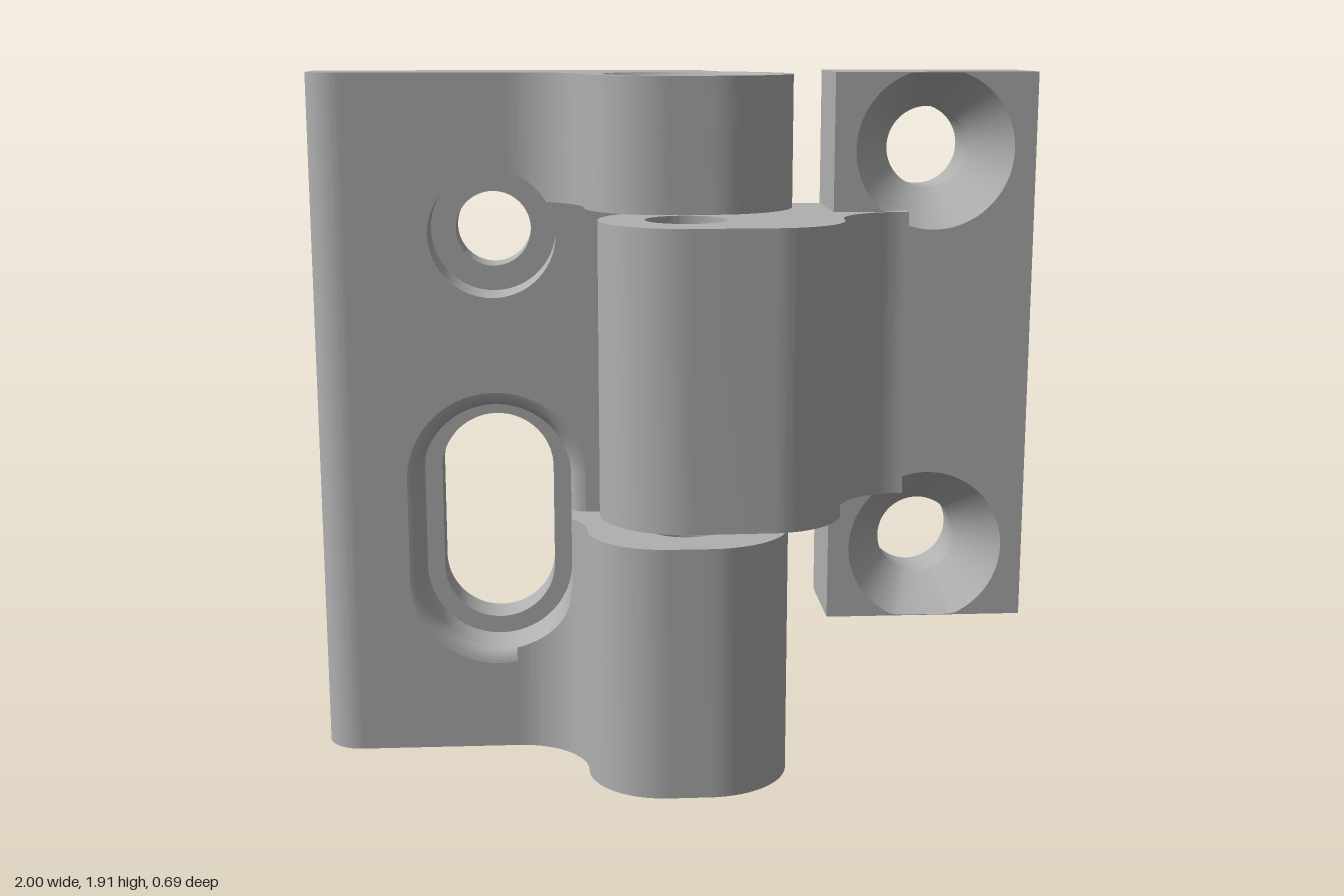
import * as THREE from 'three';
import { toCreasedNormals } from 'three/addons/utils/BufferGeometryUtils.js';

const PI = Math.PI, BACK = -0.35, FACE = -0.07, TOP = 1.915;
const BORE = [0.02, -0.11]; // pin axis in the (x, -z) profile plane

// Circle (half = 0) or upright slot outline, counter-clockwise
function slot(cx, cy, r, half = 0, lo = -9, hi = 9) {
  const n = 64, pts = [];
  for (let i = 0; i < n; i++) {
    const a = ((i + 0.5) / n) * 2 * PI, s = Math.sin(a);
    const y = cy + r * s + Math.sign(s) * half;
    pts.push(new THREE.Vector2(cx + r * Math.cos(a), Math.min(hi, Math.max(lo, y))));
  }
  return pts;
}

// Surface through rows of points
function loft(rows, closed) {
  const n = rows[0].length, pos = rows.flat().flatMap(p => [p.x, p.y, p.z]), idx = [];
  for (let j = 0; j < rows.length - 1; j++) {
    for (let i = 0; i < (closed ? n : n - 1); i++) {
      const a = j * n + i, b = j * n + ((i + 1) % n), c = a + n, d = b + n;
      idx.push(a, c, b, b, c, d);
    }
  }
  const g = new THREE.BufferGeometry();
  g.setAttribute('position', new THREE.Float32BufferAttribute(pos, 3));
  g.setIndex(idx);
  return toCreasedNormals(g, 0.6);
}
const ring = (pts, z) => pts.map(p => new THREE.Vector3(p.x, p.y, z));

// Extrude a shape from z0 to z1 with outlines cut out
function slab(shape, z0, z1, holes = []) {
  const s = shape.clone();
  s.holes = holes.map(h => new THREE.Path(h));
  const g = new THREE.ExtrudeGeometry(s, { depth: z1 - z0, bevelEnabled: false, curveSegments: 20 });
  return toCreasedNormals(g.translate(0, 0, z0), 0.6);
}
const upright = g => g.rotateX(-PI / 2);

function rect(x0, y0, x1, y1) {
  return new THREE.Shape([[x0, y0], [x1, y0], [x1, y1], [x0, y1]].map(p => new THREE.Vector2(...p)));
}

// Barrel of the wide leaf, profile in (x, -z)
function outerProfile() {
  const s = new THREE.Shape();
  s.moveTo(-0.29, 0.35);
  s.lineTo(-0.29, -0.01);
  s.absarc(-0.45, -0.13, 0.2, 0.6435, 0, true);
  s.absarc(-0.04, -0.13, 0.21, PI, 1.5 * PI, false);
  s.absarc(0.07, -0.11, 0.23, 1.5 * PI, 2 * PI, false);
  s.absarc(0.02, -0.11, 0.28, 0, 1.088, false);
  s.quadraticCurveTo(0.09, 0.2, 0.09, 0.35);
  s.closePath();
  return s;
}

// S-shaped middle barrel of the narrow leaf, profile in (x, -z)
function middleProfile() {
  const s = new THREE.Shape();
  s.moveTo(0.65, 0.35);
  s.lineTo(0.36, 0.35);
  s.quadraticCurveTo(0.24, 0.35, 0.2, 0.22);
  s.quadraticCurveTo(0.17, 0.14, 0.081, 0.117);
  s.absarc(0.02, -0.11, 0.235, 1.309, 1.5 * PI, false);
  s.lineTo(0.23, -0.34);
  s.absarc(0.23, -0.13, 0.21, 1.5 * PI, 2 * PI, false);
  s.absarc(0.64, -0.13, 0.2, PI, PI / 2, true);
  s.lineTo(0.65, 0.07);
  s.closePath();
  return s;
}

// Concave flank between plate and barrel, trimmed along yCut(x)
function flank(yEnd, yCut, flip) {
  const xs = Array.from({ length: 17 }, (_, i) => -0.45 + 0.01 * i);
  if (flip) xs.reverse();
  const z = x => 0.13 - Math.sqrt(0.04 - (x + 0.45) ** 2);
  const row = (y, h) => xs.map(x => new THREE.Vector3(x, y(x), h(x)));
  const end = () => yEnd, sunk = () => -0.15;
  return loft([row(end, sunk), row(end, z), row(yCut, z), row(yCut, sunk)], false);
}

export function createModel() {
  const steel = new THREE.MeshStandardMaterial({ color: 0xb0b0b0 });
  steel.name = 'grey metal';
  const model = new THREE.Group();
  model.name = 'hinge';
  const group = name => {
    const g = new THREE.Group();
    g.name = name;
    model.add(g);
    return g;
  };
  const add = (parent, name, geometry) => {
    const m = new THREE.Mesh(geometry, steel);
    m.name = name;
    parent.add(m);
  };

  // Wide leaf: plate with a counterbored hole and a stepped slot
  const wide = group('wideLeaf');
  const plate = rect(-0.9, 0, -0.12, TOP);
  const hole = r => slot(-0.5, 1.48, r);
  const oval = r => slot(-0.5, 0.645, r, 0.145);
  add(wide, 'widePlateBack', slab(plate, BACK, -0.23, [hole(0.105), oval(0.16)]));
  add(wide, 'widePlateMiddle', slab(plate, -0.23, -0.11, [hole(0.175), oval(0.21)]));
  add(wide, 'widePlateFront', slab(plate, -0.11, FACE, [hole(0.175), oval(0.25)]));

  // Rounded lip of the slot
  const lip = [0, 1, 2, 3, 4].map(i => {
    const a = (i / 4) * PI / 2;
    return ring(oval(0.25 - 0.04 * Math.cos(a)), -0.11 + 0.04 * Math.sin(a));
  });
  add(wide, 'slotLip', loft(lip, true));

  // Rounded outer edge
  const edge = new THREE.Shape();
  edge.moveTo(-0.9, 0.35);
  edge.lineTo(-1, 0.35);
  edge.lineTo(-1, 0.17);
  edge.absarc(-0.9, 0.17, 0.1, PI, 1.5 * PI, false);
  edge.closePath();
  add(wide, 'roundedEdge', upright(slab(edge, 0, TOP)));

  // Two outer barrels, the upper one countersunk
  const outer = outerProfile(), bore = slot(...BORE, 0.11), sink = slot(...BORE, 0.22);
  add(wide, 'lowerBarrel', upright(slab(outer, 0, 0.695, [bore])));
  add(wide, 'upperBarrel', upright(slab(outer, 1.57, 1.795, [bore])));
  add(wide, 'upperBarrelRim', upright(slab(outer, 1.795, TOP, [sink])));
  add(wide, 'barrelCountersink', upright(loft([ring(bore, 1.795), ring(sink, TOP)], true)));

  // Flanks trimmed by the slot and the counterbore
  const arc = (x, r) => Math.sqrt(Math.max(0, r * r - (x + 0.5) ** 2));
  add(wide, 'lowerFlank', flank(0, x => 0.5 - arc(x, 0.21), true));
  add(wide, 'upperFlank', flank(TOP, x => Math.max(1.57, 1.48 + arc(x, 0.175)), false));

  // Narrow leaf: plate with two countersunk holes
  const narrow = group('narrowLeaf');
  const narrowPlate = rect(0.44, 0.37, 1, TOP);
  const holes = r => [0.575, 1.705].map(y => slot(0.72, y, r, 0, 0.372, TOP - 0.002));
  add(narrow, 'narrowPlateBack', slab(narrowPlate, BACK, -0.21, holes(0.113)));
  add(narrow, 'narrowPlateFront', slab(narrowPlate, -0.21, FACE, holes(0.22)));
  const wideRings = holes(0.22);
  holes(0.113).forEach((h, i) =>
    add(narrow, 'screwCountersink', loft([ring(h, -0.21), ring(wideRings[i], FACE)], true)));
  add(narrow, 'middleBarrel', upright(slab(middleProfile(), 0.735, 1.535, [bore])));

  return model;
}
